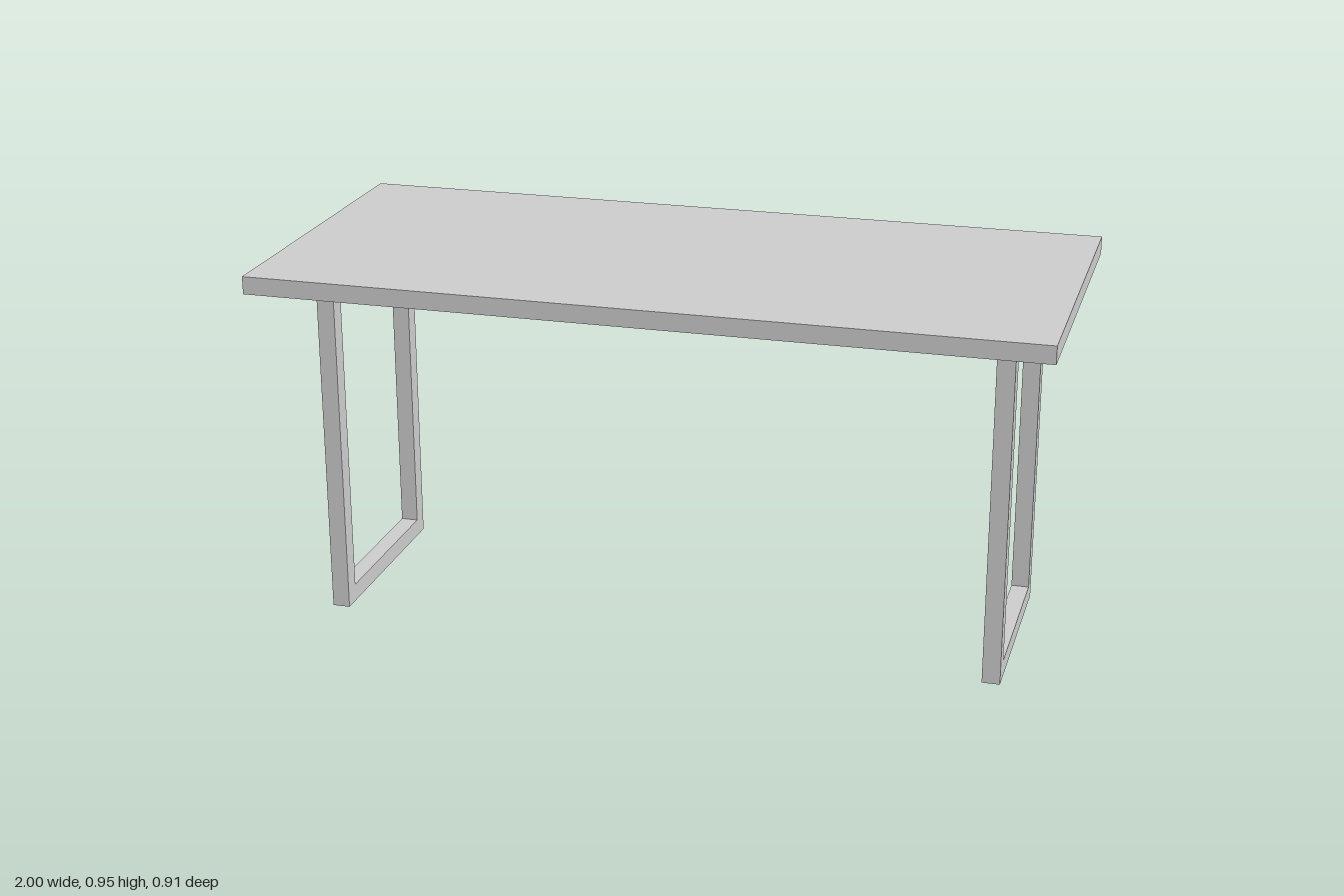
import * as THREE from 'three';

const T = 0.0455;       // thickness of the top and of the leg bars
const LEG_H = 0.909;    // underside of the top
const LEG_HALF = 0.2727; // half depth of a leg frame
const LEG_X = 0.8636;   // centre of each leg frame

export function createModel() {
  const group = new THREE.Group();
  group.name = 'table';
  const material = new THREE.MeshStandardMaterial({ color: 0xcccccc });

  // Flat rectangular top
  const top = new THREE.Mesh(new THREE.BoxGeometry(2, T, 0.909), material);
  top.name = 'tableTop';
  top.position.y = LEG_H + T / 2;
  group.add(top);

  // U-shaped leg frame: two posts joined by a floor rail
  const inner = LEG_HALF - T;
  const outline = new THREE.Shape([
    [-LEG_HALF, 0], [LEG_HALF, 0], [LEG_HALF, LEG_H], [inner, LEG_H],
    [inner, T], [-inner, T], [-inner, LEG_H], [-LEG_HALF, LEG_H],
  ].map(([z, y]) => new THREE.Vector2(z, y)));
  const frame = new THREE.ExtrudeGeometry(outline, { depth: T, bevelEnabled: false });
  frame.translate(0, 0, -T / 2).rotateY(Math.PI / 2);

  for (const [name, side] of [['leftLegFrame', 1], ['rightLegFrame', -1]]) {
    const leg = new THREE.Mesh(frame, material);
    leg.name = name;
    leg.position.x = side * LEG_X;
    group.add(leg);
  }
  return group;
}
